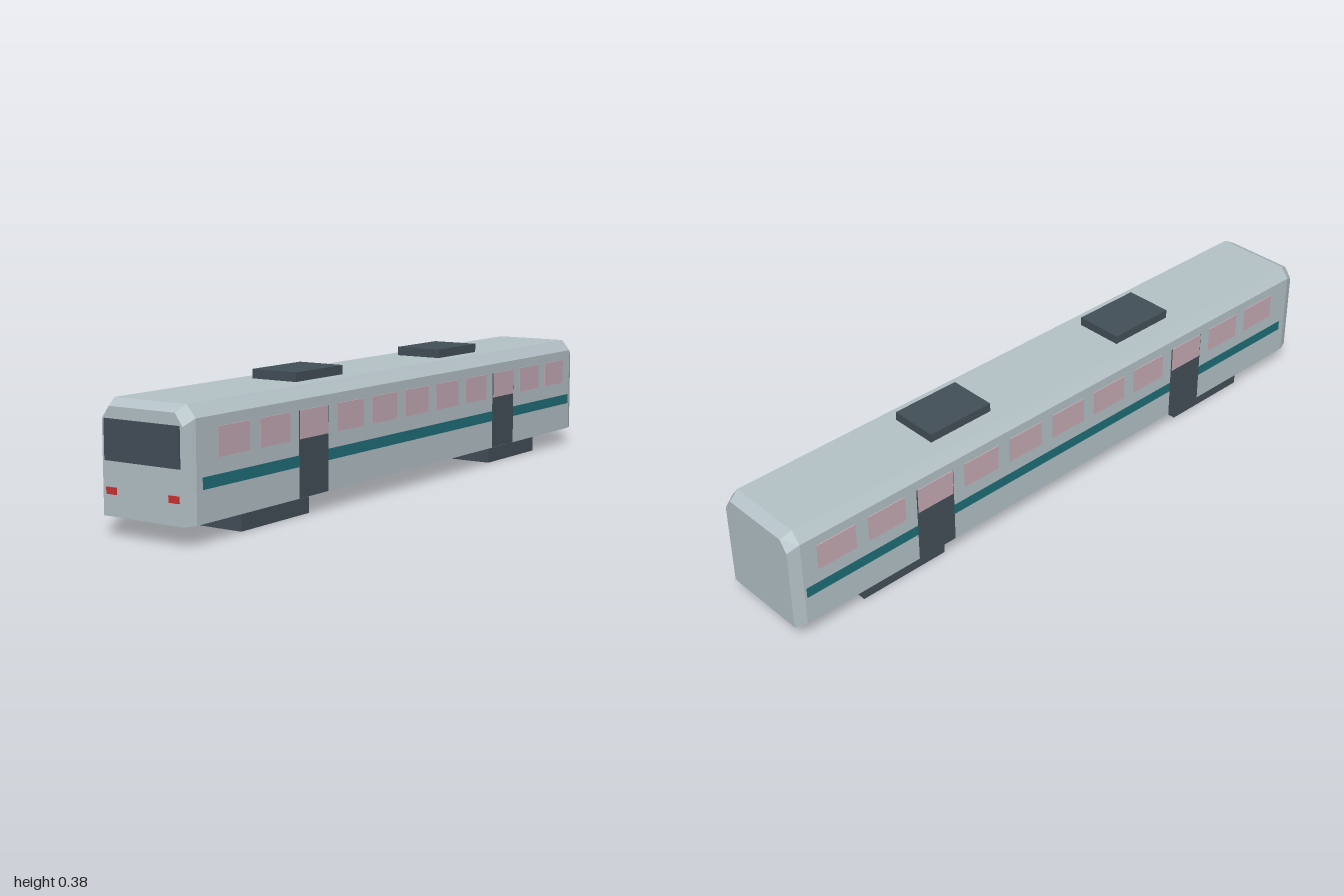
import * as THREE from 'three';

const mat = (name, color) => {
  const m = new THREE.MeshStandardMaterial({ color });
  m.name = name;
  return m;
};

// Convex shell lofted through four cross-sections, with a dark floor and chamfered ends
function shellGeometry() {
  const section = (z, half) => [...half, ...half.map(([x, y]) => [-x, y]).reverse()]
    .map(([x, y]) => new THREE.Vector3(x, y, z));
  const full = [[0.145, 0.053], [0.145, 0.317], [0.118, 0.35]];
  const end = [[0.132, 0.053], [0.132, 0.299], [0.108, 0.332]];
  const loops = [section(-1, end), section(-0.967, full), section(0.963, full), section(0.996, end)];
  const n = loops[0].length;
  const paint = [], floor = [];
  for (let s = 0; s < loops.length - 1; s++) {
    const a = loops[s], b = loops[s + 1];
    for (let i = 0; i < n; i++) {
      const j = (i + 1) % n;
      (i === n - 1 ? floor : paint).push(a[i], a[j], b[j], a[i], b[j], b[i]);
    }
  }
  // End caps
  const back = loops[0], front = loops[loops.length - 1];
  for (let i = 1; i < n - 1; i++) {
    paint.push(front[0], front[i], front[i + 1], back[0], back[i + 1], back[i]);
  }
  const g = new THREE.BufferGeometry().setFromPoints([...paint, ...floor]);
  g.addGroup(0, paint.length, 0);
  g.addGroup(paint.length, floor.length, 1);
  g.computeVertexNormals();
  return g;
}

export function createModel() {
  const model = new THREE.Group();
  model.name = 'railCar';

  const bodyGrey = mat('bodyGrey', 0xb3c1c6);
  const darkGrey = mat('darkGrey', 0x434f58);
  const floorGrey = mat('floorGrey', 0x363f46);
  const teal = mat('teal', 0x1f6e78);
  const glassPink = mat('glassPink', 0xc4a9b3);
  const red = mat('red', 0xcc3232);

  // Box given by its minimum and maximum corners
  const box = (name, material, [x0, y0, z0], [x1, y1, z1]) => {
    const mesh = new THREE.Mesh(new THREE.BoxGeometry(x1 - x0, y1 - y0, z1 - z0), material);
    mesh.position.set((x0 + x1) / 2, (y0 + y1) / 2, (z0 + z1) / 2);
    mesh.name = name;
    model.add(mesh);
  };

  // Car body
  const body = new THREE.Mesh(shellGeometry(), [bodyGrey, floorGrey]);
  body.name = 'body';
  model.add(body);

  // Bogies and roof units
  for (const s of [1, -1]) {
    const bogieZ = s * 0.62, roofZ = s * 0.36;
    box('bogie', darkGrey, [-0.121, 0, bogieZ - 0.144], [0.121, 0.054, bogieZ + 0.144]);
    box('roofUnit', darkGrey, [-0.074, 0.348, roofZ - 0.108], [0.074, 0.376, roofZ + 0.108]);
  }

  // Windscreen and lamps
  box('windscreen', darkGrey, [-0.123, 0.195, 0.994], [0.123, 0.301, 1]);
  for (const x of [-0.1025, 0.1025]) {
    box('lamp', red, [x - 0.0165, 0.11, 0.994], [x + 0.0165, 0.128, 1]);
  }

  // Side details: plates standing slightly proud of each wall
  const sidePlate = (name, material, side, out, y0, y1, z, length) => {
    const xs = [side * 0.144, side * out].sort((a, b) => a - b);
    box(name, material, [xs[0], y0, z - length / 2], [xs[1], y1, z + length / 2]);
  };
  for (const side of [1, -1]) {
    sidePlate('stripe', teal, side, 0.1458, 0.138, 0.169, -0.01, 1.9);
    for (let i = 0; i < 11; i++) {
      const z = 0.82 - i * 0.1675;
      if (i === 2 || i === 8) sidePlate('door', darkGrey, side, 0.1468, 0.054, 0.288, z, 0.129);
      sidePlate('window', glassPink, side, 0.148, 0.212, 0.2885, z, 0.124);
    }
  }
  return model;
}
